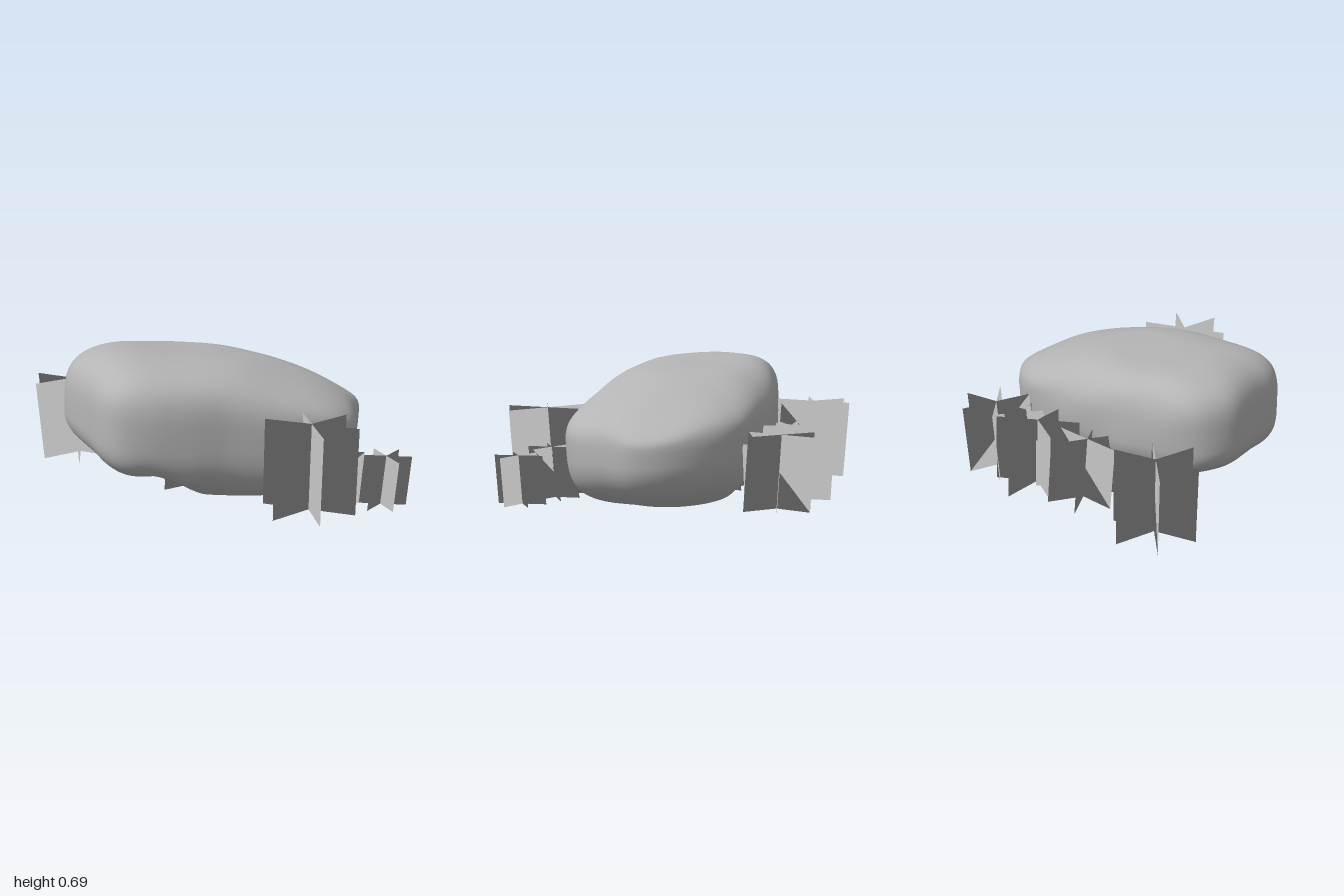
import * as THREE from 'three';

const stone = new THREE.MeshStandardMaterial({ color: 0xb4b4b4 });
stone.name = 'stoneGrey';
const leaf = new THREE.MeshStandardMaterial({ color: 0xb4b4b4, side: THREE.DoubleSide });
leaf.name = 'grassGrey';

const lerp = THREE.MathUtils.lerp;
const smooth = THREE.MathUtils.smoothstep;

// Plan outline of the boulder at its widest, as x, z pairs
const outline = [
  [-0.70, 0.27], [-0.66, 0.16], [-0.55, 0.04], [-0.43, -0.09], [-0.2, -0.26], [0, -0.37],
  [0.1, -0.41], [0.26, -0.44], [0.42, -0.42], [0.55, -0.35], [0.64, -0.24], [0.66, -0.1],
  [0.69, 0.1], [0.66, 0.22], [0.55, 0.33], [0.38, 0.44], [0.2, 0.54], [0.05, 0.64],
  [-0.12, 0.73], [-0.25, 0.755], [-0.36, 0.71], [-0.46, 0.62], [-0.56, 0.53], [-0.66, 0.42],
];

// Height of the upper and lower faces of the boulder
const topAt = (x, z) => 0.645 - 0.11 * x + 0.05 * z
  - 0.08 * smooth(x, 0.15, 0.7) - 0.07 * smooth(-z, 0, 0.45)
  + 0.008 * Math.sin(9 * x + 4 * z) * Math.sin(8 * z - 3 * x);
const bottomAt = (x, z) => (0.08 - 0.17 * Math.min(x, 0)) * (1 - smooth(x, -0.15, 0.05))
  + 0.07 * smooth(z, 0.3, 0.6) * smooth(x, -0.3, 0);

function boulder() {
  const curve = new THREE.CatmullRomCurve3(outline.map(([x, z]) => new THREE.Vector3(x, 0, z)), true);
  const cols = 96, rows = 56, cx = 0, cz = 0.15;
  const rim = curve.getSpacedPoints(cols);
  const pos = [], index = [];
  for (let j = 0; j <= rows; j++) {
    // a runs from the bottom pole to the top pole
    const a = lerp(-Math.PI / 2, Math.PI / 2, j / rows);
    const power = a < 0 ? 0.48 : 0.55;
    const r = j % rows === 0 ? 0 : Math.pow(Math.cos(a), power);
    const h = Math.sign(a) * Math.pow(Math.abs(Math.sin(a)), power + 0.05);
    for (let i = 0; i < cols; i++) {
      const p = rim[i];
      // the underside tucks in, most of all at the back
      const tuck = h < 0 ? 1 - h * h * (0.04 + 0.14 * (1 - smooth(p.z, -0.3, 0.2))) : 1;
      const dent = 1 + 0.01 * Math.sin(p.x * 11 + h * 2) * Math.sin(p.z * 9 - h * 2) * Math.cos(a);
      const x = cx + (p.x - cx) * r * tuck * dent;
      const z = cz + (p.z - cz) * r * tuck * dent;
      const mid = 0.37 - 0.08 * p.x;
      const y = h > 0 ? lerp(mid, topAt(x, z), h) : lerp(mid, bottomAt(x, z), -h);
      pos.push(x, y, z);
    }
  }
  for (let j = 0; j < rows; j++) {
    for (let i = 0; i < cols; i++) {
      const k = (i + 1) % cols;
      const a = j * cols + i, b = j * cols + k, c = a + cols, d = b + cols;
      if (j > 0) index.push(a, c, b);
      if (j < rows - 1) index.push(b, c, d);
    }
  }
  const g = new THREE.BufferGeometry();
  g.setAttribute('position', new THREE.Float32BufferAttribute(pos, 3));
  g.setIndex(index);
  g.computeVertexNormals();
  const mesh = new THREE.Mesh(g, stone);
  mesh.name = 'boulder';
  return mesh;
}

// Tuft of three crossed cards leaning along the first card
function grassTuft({ x, z, r, top, angle, lean }) {
  const base = 0.04, tuft = new THREE.Group();
  tuft.name = 'grassTuft';
  const a0 = THREE.MathUtils.degToRad(angle);
  for (let i = 0; i < 3; i++) {
    const card = new THREE.PlaneGeometry(2 * r - Math.abs(lean), top - base);
    card.rotateY(-a0 - i * Math.PI / 3);
    const p = card.attributes.position;
    for (let v = 0; v < p.count; v++) {
      const s = Math.sign(p.getY(v)) * lean / 2;
      p.setX(v, p.getX(v) + s * Math.cos(a0));
      p.setZ(v, p.getZ(v) + s * Math.sin(a0));
      // grass is shaded like the ground it grows from
      card.attributes.normal.setXYZ(v, 0, 1, 0);
    }
    const mesh = new THREE.Mesh(card, leaf);
    mesh.name = 'grassCard';
    tuft.add(mesh);
  }
  tuft.position.set(x, (base + top) / 2, z);
  return tuft;
}

const tufts = [
  { x: -0.78, z: 0.03, r: 0.225, top: 0.43, angle: 8, lean: -0.035 },
  { x: 0.575, z: 0.485, r: 0.235, top: 0.46, angle: 62, lean: 0.03 },
  { x: 0.875, z: 0.295, r: 0.127, top: 0.275, angle: -11, lean: 0.02 },
  { x: 0.66, z: 0.335, r: 0.13, top: 0.29, angle: -8, lean: 0.02 },
  { x: 0.015, z: -0.575, r: 0.19, top: 0.39, angle: 73, lean: -0.025 },
  { x: -0.21, z: -0.42, r: 0.22, top: 0.39, angle: -9, lean: -0.035 },
  { x: -0.40, z: -0.22, r: 0.19, top: 0.36, angle: -36, lean: -0.03 },
  { x: -0.24, z: -0.3, r: 0.14, top: 0.28, angle: 32, lean: 0.015 },
  { x: -0.02, z: -0.47, r: 0.13, top: 0.33, angle: 30, lean: 0.012 },
  { x: -0.05, z: 0.33, r: 0.15, top: 0.18, angle: 10, lean: 0.015 },
  { x: -0.12, z: 0.02, r: 0.15, top: 0.25, angle: 20, lean: 0.015 },
];

export function createModel() {
  const model = new THREE.Group();
  model.name = 'boulderWithGrass';
  model.add(boulder());
  for (const t of tufts) model.add(grassTuft(t));
  return model;
}
